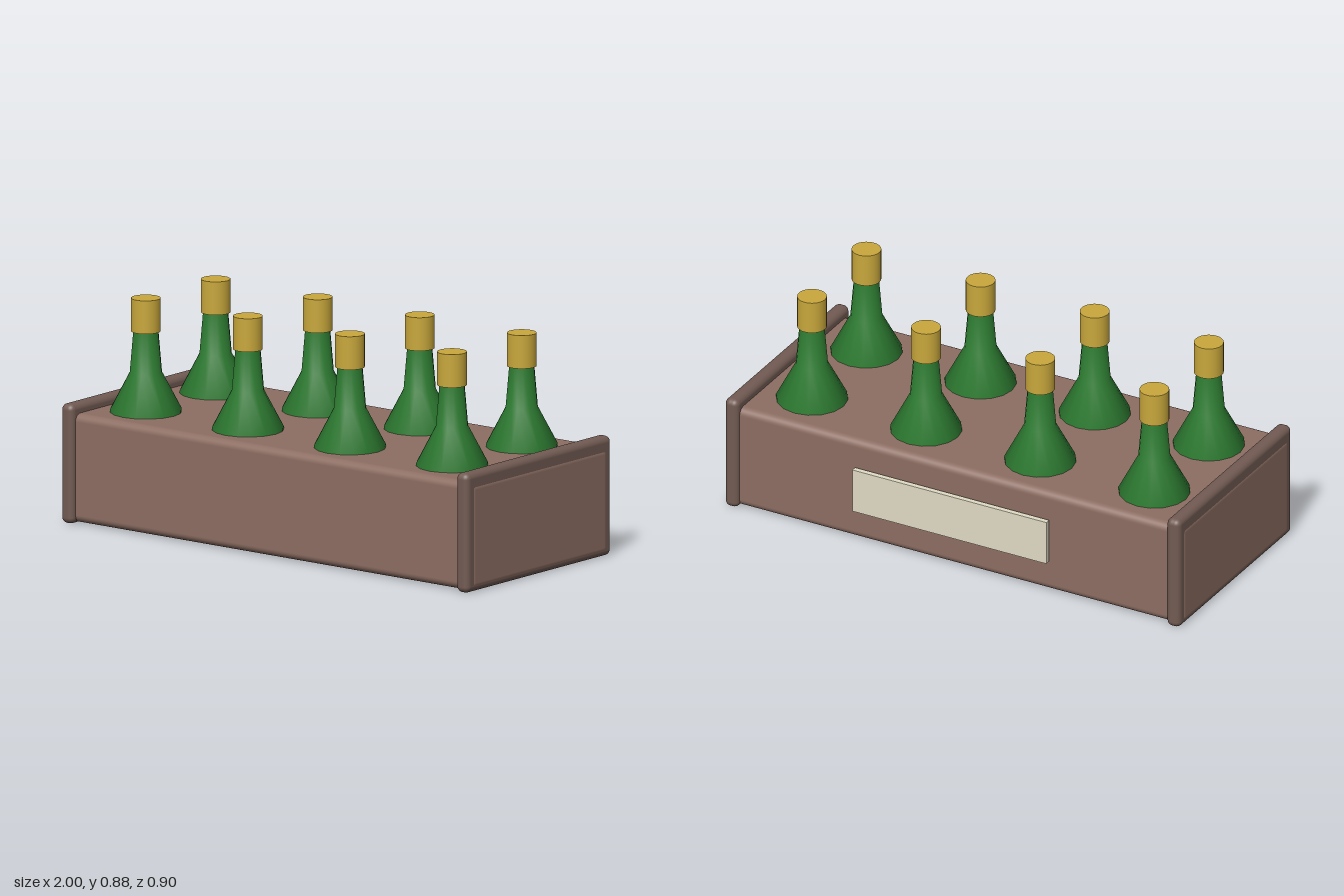
import * as THREE from 'three';
import { RoundedBoxGeometry } from 'three/addons/geometries/RoundedBoxGeometry.js';

const mat = (color) => new THREE.MeshStandardMaterial({ color });

export function createModel() {
  const model = new THREE.Group();
  const wood = mat(0x8d6e63);
  const darkWood = mat(0x725b53);
  const glass = mat(0x2e7d32);
  const foil = mat(0xc9a83c);
  const paper = mat(0xe0dbc4);

  const add = (parent, name, geometry, material, x, y, z) => {
    const mesh = new THREE.Mesh(geometry, material);
    mesh.name = name;
    mesh.position.set(x, y, z);
    parent.add(mesh);
    return mesh;
  };

  // Crate body, its flat ends showing through the end boards
  add(model, 'crateBody', new RoundedBoxGeometry(2, 0.425, 0.845, 4, 0.03), wood, 0, 0.2175, 0.003);

  // Rounded end boards
  const endGeometry = new RoundedBoxGeometry(0.06, 0.468, 0.887, 4, 0.024);
  for (const side of [-1, 1]) {
    add(model, side > 0 ? 'leftEndBoard' : 'rightEndBoard', endGeometry, darkWood, side * 0.968, 0.234, 0.004);
  }

  // Blank label plate on the back
  add(model, 'labelPlate', new THREE.BoxGeometry(0.85, 0.18, 0.022), paper, 0, 0.23, -0.444);

  // Bottles: straight body, sloping shoulder, tapering neck and foil cap
  const profile = [[0, 0.003], [0.138, 0.003], [0.138, 0.003], [0.138, 0.44], [0.062, 0.585], [0.048, 0.75]]
    .map(([r, y]) => new THREE.Vector2(r, y));
  const glassGeometry = new THREE.LatheGeometry(profile, 16);
  const capGeometry = new THREE.CylinderGeometry(0.057, 0.057, 0.13, 24);
  for (const z of [-0.208, 0.218]) {
    for (let i = 0; i < 4; i++) {
      const bottle = new THREE.Group();
      bottle.name = 'bottle';
      bottle.position.set(-0.76 + i * 0.5, 0, z);
      add(bottle, 'bottleGlass', glassGeometry, glass, 0, 0, 0);
      add(bottle, 'bottleCap', capGeometry, foil, 0, 0.81, 0);
      model.add(bottle);
    }
  }
  return model;
}
